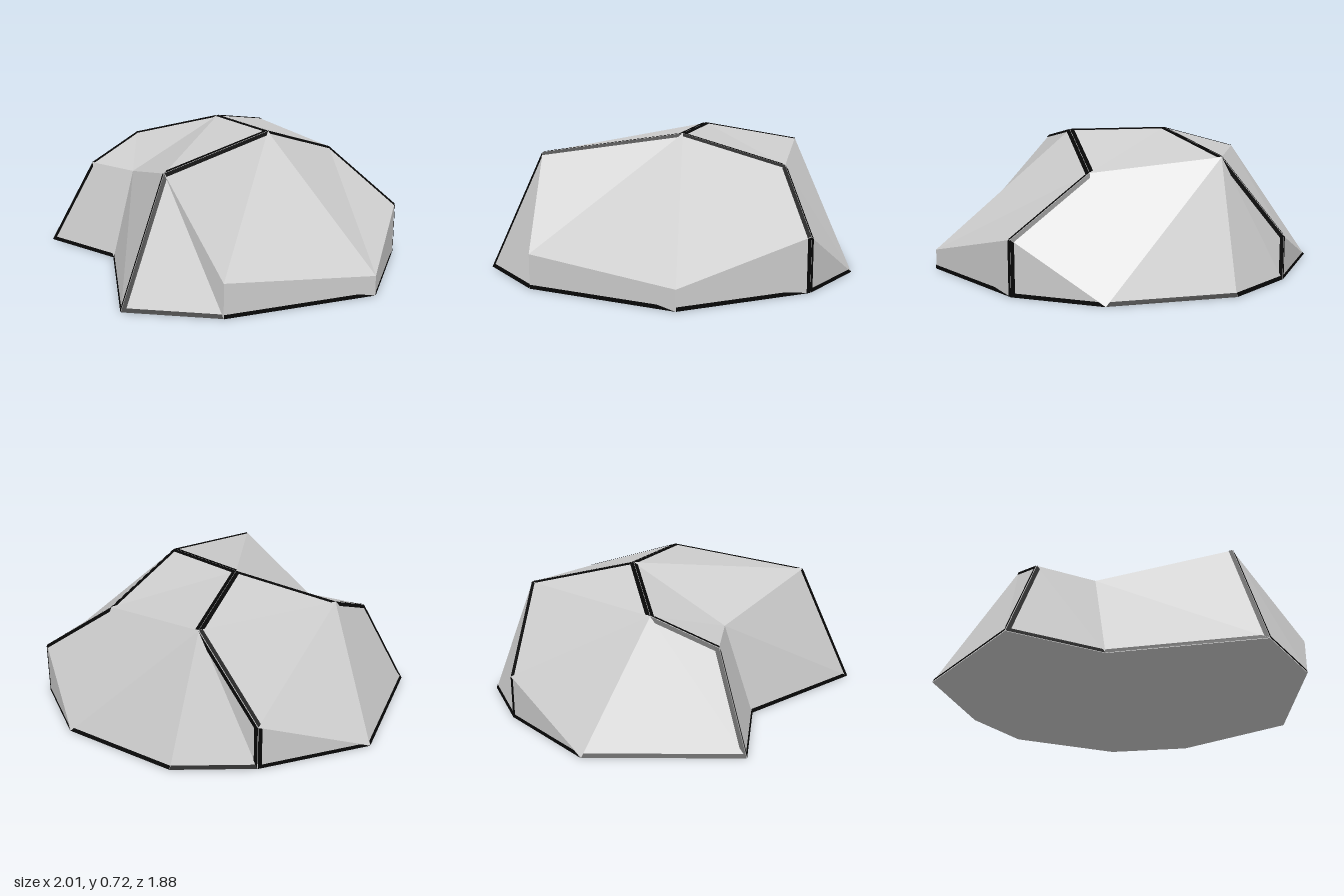
import * as THREE from 'three';

// Corner points of the faceted rock: ground ring, low shoulder, crown
const P = {
  a: [-1, 0, -0.21], b: [-0.66, 0, -0.69], c: [-0.33, 0, -0.93], d: [0.29, 0, -0.94], e: [0.68, 0, -0.69],
  f: [1, 0, -0.07], g: [0.68, 0, 0.65], h: [0.29, 0, 0.93], i: [-0.33, 0, 0.48], j: [-0.83, 0, 0.53],
  B: [-0.66, 0.22, -0.69], E: [0.68, 0.27, -0.69], F: [1, 0.1, -0.07], G: [0.68, 0.17, 0.65],
  K: [-0.65, 0.59, 0.03], L: [-0.65, 0.46, 0.36], M: [-0.33, 0.46, 0.33], N: [0.29, 0.61, 0.65],
  O: [0.29, 0.71, -0.07], T: [-0.19, 0.72, -0.18], Q: [0.29, 0.55, -0.59], R: [-0.33, 0.62, -0.69],
};

// Facets of each panel, as rings of corner letters
const PANELS = {
  frontPanel: ['KTML', 'TONM', 'LMij', 'MNhi'],
  leftPanel: ['OFGN', 'QEFO', 'NGgh', 'GFfg', 'FEef'],
  backPanel: ['TRQO', 'RQdc', 'QEd', 'Eed', 'RcbB'],
  rightPanel: ['RTKB', 'BKa', 'Bab', 'KLja'],
  underside: ['ijabcdefgh'],
};

// Dark seams run along these edges and around the ground ring
const SEAMS = ['RB', 'Bb', 'RT', 'TK', 'KL', 'Lj', 'TO', 'ON', 'Nh', 'OQ', 'QE', 'Ee'];
const RING = 'abcdefghij';
const SEAM_WIDTH = 0.02;
const LIFT = 0.003;
const INSIDE = new THREE.Vector3(0, 0.2, -0.05);
const point = (k) => new THREE.Vector3(...P[k]);

function isSeam(p, q) {
  const step = Math.abs(RING.indexOf(p) - RING.indexOf(q));
  const onRing = RING.includes(p) && RING.includes(q) && (step === 1 || step === RING.length - 1);
  return onRing || SEAMS.includes(p + q) || SEAMS.includes(q + p);
}

function normalOf(v) {
  return v[1].clone().sub(v[0]).cross(v[2].clone().sub(v[0])).normalize();
}

// Split a ring into outward-facing triangles
function triangles(ring) {
  const list = [];
  for (let n = 1; n < ring.length - 1; n++) {
    const keys = [ring[0], ring[n], ring[n + 1]];
    const v = keys.map(point);
    const middle = v[0].clone().add(v[1]).add(v[2]).divideScalar(3).sub(INSIDE);
    if (normalOf(v).dot(middle) < 0) keys.reverse();
    list.push(keys);
  }
  return list;
}

// Inner end of a seam: slide from a corner along the neighbouring edge
function slide(corner, along, other) {
  const u = along.clone().sub(corner);
  const length = u.length();
  const sine = Math.sin(u.angleTo(other.clone().sub(corner)));
  return corner.clone().addScaledVector(u, Math.min(SEAM_WIDTH / sine / length, 0.9));
}

// Thin ribbon just above one edge of a triangle
function ribbon(p, q, r, normal) {
  const pi = slide(p, r, q), qi = slide(q, r, p);
  return [p, q, qi, p, qi, pi].map((v) => v.clone().addScaledVector(normal, LIFT));
}

function meshFrom(points, material, name) {
  const geometry = new THREE.BufferGeometry().setFromPoints(points);
  geometry.computeVertexNormals();
  const mesh = new THREE.Mesh(geometry, material);
  mesh.name = name;
  return mesh;
}

export function createModel() {
  const stone = new THREE.MeshStandardMaterial({ color: 0xcccccc });
  stone.name = 'pale stone';
  const dark = new THREE.MeshStandardMaterial({ color: 0x060606 });
  dark.name = 'black seam';

  const rock = new THREE.Group();
  rock.name = 'rock';
  for (const [name, rings] of Object.entries(PANELS)) {
    const faces = [], seams = [];
    for (const keys of rings.flatMap(triangles)) {
      const v = keys.map(point);
      faces.push(...v);
      if (name === 'underside') continue;
      for (let n = 0; n < 3; n++) {
        const m = (n + 1) % 3, o = (n + 2) % 3;
        if (isSeam(keys[n], keys[m])) seams.push(...ribbon(v[n], v[m], v[o], normalOf(v)));
      }
    }
    rock.add(meshFrom(faces, stone, name));
    if (seams.length) rock.add(meshFrom(seams, dark, name + 'Seams'));
  }
  return rock;
}
